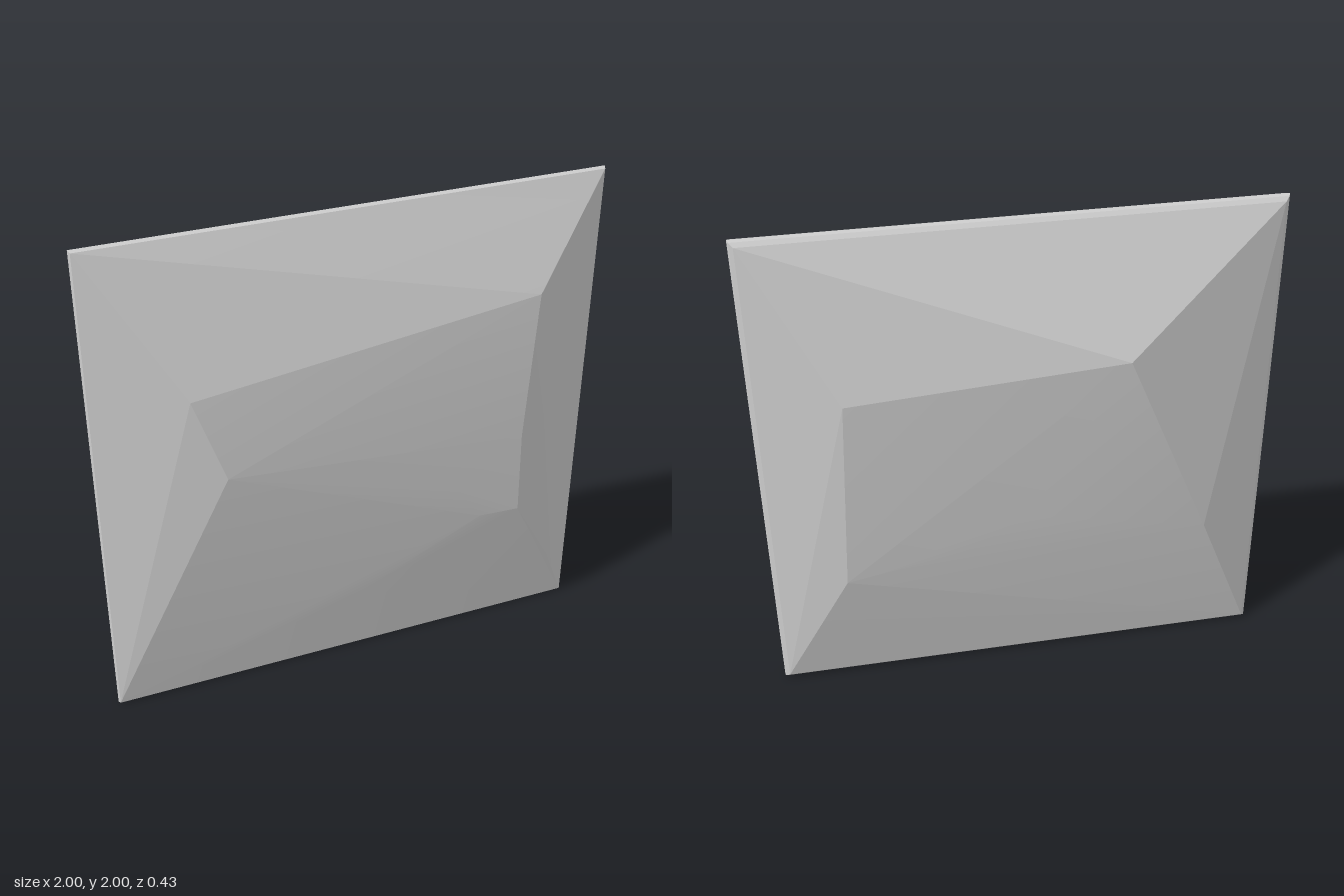
import * as THREE from 'three';
import { ConvexGeometry } from 'three/addons/geometries/ConvexGeometry.js';
import { toCreasedNormals } from 'three/addons/utils/BufferGeometryUtils.js';

// Thin rounded rim: each corner of the slab has a front, middle and back point
const corners = [[-0.975, 1.995], [0.995, 1.995], [1, 0], [-1, 0]];
const rimProfile = [[0.035, 0.006], [0.02, 0], [0.008, 0.006], [-0.005, 0.02]]; // z, inset

// Ridge points of the faceted front
const frontRidge = [
  [-0.65, 1.44, 0.188], [-0.54, 1.11, 0.214], [0.68, 1.61, 0.192],
  [0.65, 1.0, 0.19], [0.67, 0.63, 0.171], [0.38, 0.81, 0.186],
  [0.5, 0.64, 0.173], [0, 0.34, 0.113], [0.88, 0.27, 0.088], [0.9, 1.9, 0.073],
];

// Ridge points of the faceted back
const backRidge = [
  [-0.36, 1.5, -0.213], [0.67, 1.4, -0.157], [0.71, 0.57, -0.118],
  [0.25, 0.67, -0.135], [0, 0.82, -0.152], [-0.72, 0.65, -0.128],
];

export function createModel() {
  const group = new THREE.Group();
  group.name = 'facetedSlab';

  const points = [...frontRidge, ...backRidge].map((p) => new THREE.Vector3(...p));
  for (const [x, y] of corners) {
    for (const [z, inset] of rimProfile) {
      points.push(new THREE.Vector3(x - Math.sign(x) * inset, y + (y > 1 ? -inset : inset), z));
    }
  }

  // The cut stone is the hull of its ridges and rim; shallow edges are softened
  const geometry = toCreasedNormals(new ConvexGeometry(points), 0.12);
  const stone = new THREE.Mesh(geometry, new THREE.MeshStandardMaterial({ color: 0xcccccc }));
  stone.name = 'cutStone';
  group.add(stone);
  return group;
}
